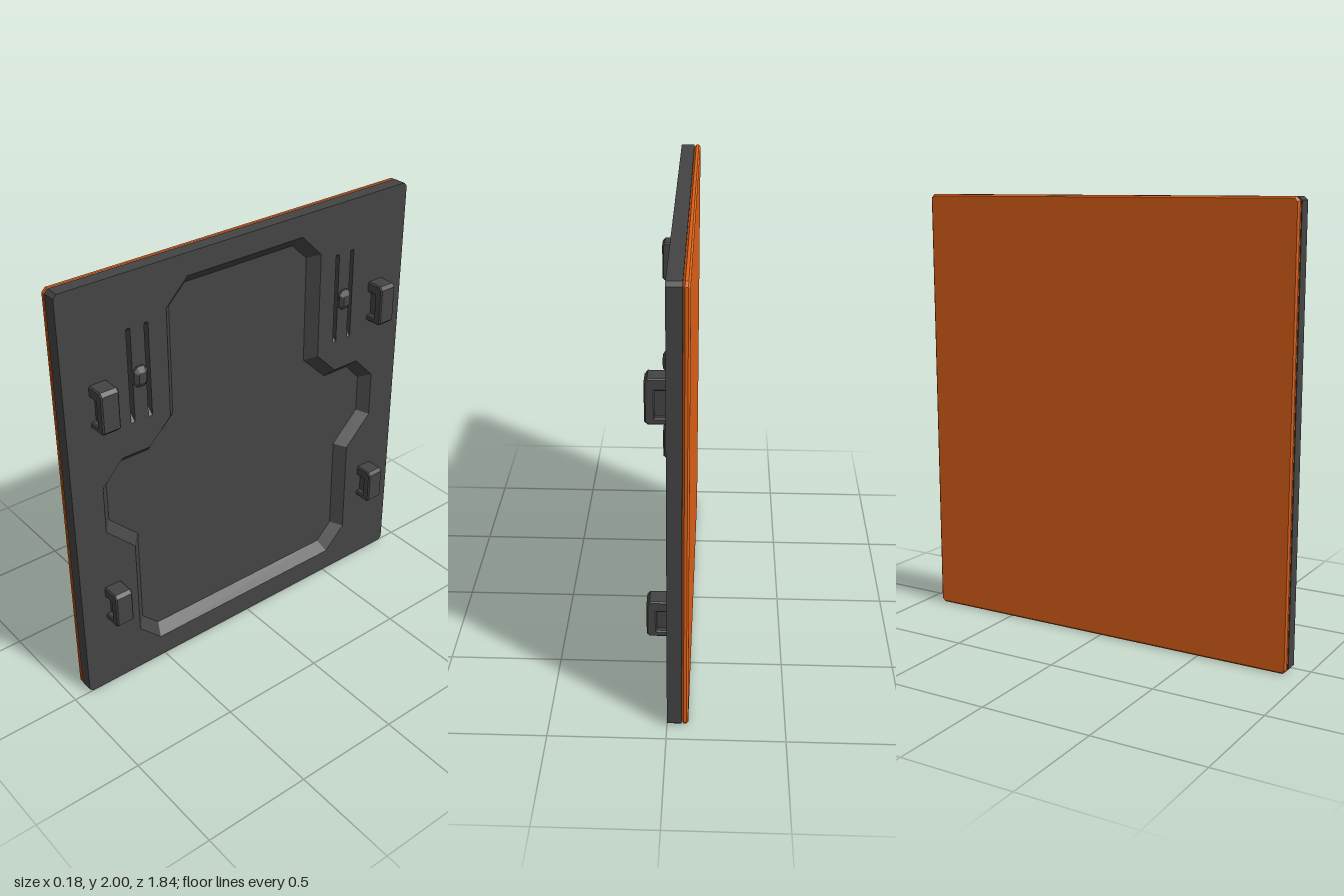
import * as THREE from 'three';

const dark = new THREE.MeshStandardMaterial({ color: 0x444444, flatShading: true });
const orange = new THREE.MeshStandardMaterial({ color: 0xe06218, flatShading: true });
const W = 0.92, H = 2, BACK = -0.062;

const toShape = (pts) => new THREE.Shape(pts.map(([x, y]) => new THREE.Vector2(x, y)));

// rectangle with cut corners, counter-clockwise
function cutRect(x0, y0, x1, y1, c) {
  return [[x0 + c, y0], [x1 - c, y0], [x1, y0 + c], [x1, y1 - c],
    [x1 - c, y1], [x0 + c, y1], [x0, y1 - c], [x0, y0 + c]];
}

// faces between two matching 3D outlines
function strip(a, b, closed) {
  const pos = [], n = a.length;
  for (let i = 0; i < (closed ? n : n - 1); i++) {
    const j = (i + 1) % n;
    pos.push(...a[i], ...a[j], ...b[j], ...a[i], ...b[j], ...b[i]);
  }
  const g = new THREE.BufferGeometry();
  g.setAttribute('position', new THREE.Float32BufferAttribute(pos, 3));
  g.computeVertexNormals();
  return g;
}

// mirrors a right-hand half outline (listed top to bottom) into a closed loop
const mirrorLoop = (half) => [...half].reverse().concat(half.map(([x, y]) => [-x, y]));
const atDepth = (pts, z) => pts.map(([x, y]) => [x, y, z]);

export function createModel() {
  const model = new THREE.Group();
  model.name = 'wallPanel';
  // the panel is drawn flat in XY, then turned so that its face looks along +x
  const panel = new THREE.Group();
  panel.name = 'panel';
  panel.rotation.y = Math.PI / 2;
  model.add(panel);
  const add = (name, geo, mat = dark, parent = panel) => {
    const m = new THREE.Mesh(geo, mat);
    m.name = name;
    parent.add(m);
    return m;
  };

  // recess rim and floor outlines
  const rim = mirrorLoop([[0.305, 1.9], [0.415, 1.79], [0.415, 1.285], [0.525, 1.175], [0.665, 1.175],
    [0.77, 1.065], [0.77, 0.84], [0.63, 0.7], [0.63, 0.22], [0.52, 0.11]]);
  const floor = mirrorLoop([[0.287, 1.85], [0.37, 1.77], [0.37, 1.26], [0.503, 1.13], [0.645, 1.13],
    [0.725, 1.045], [0.725, 0.86], [0.583, 0.718], [0.583, 0.24], [0.5, 0.158]]);

  // dark front plate with openings for the recess and the slots
  const slots = [-0.602, -0.515, 0.515, 0.602];
  const sw = 0.01;
  const plate = toShape(cutRect(-W, 0, W, H, 0.016));
  plate.holes.push(toShape(rim));
  for (const u of slots) plate.holes.push(toShape(cutRect(u - sw, 1.325, u + sw, 1.76, 0.004)));
  add('frontPlate', new THREE.ExtrudeGeometry(plate, { depth: -BACK, bevelEnabled: false }).translate(0, 0, BACK));

  // sloped recess wall and its floor
  add('recessWall', strip(atDepth(rim, 0), atDepth(floor, -0.047), true));
  add('recessFloor', new THREE.ShapeGeometry(toShape(floor)).translate(0, 0, -0.047));

  // ramps at both ends of every slot
  for (const u of slots) {
    const l = u - sw, r = u + sw;
    add('slotTopRamp', strip([[r, 1.76, 0], [l, 1.76, 0]], [[r, 1.71, BACK], [l, 1.71, BACK]]));
    add('slotBottomRamp', strip([[l, 1.325, 0], [r, 1.325, 0]], [[l, 1.38, BACK], [r, 1.38, BACK]]));
  }

  // orange back panel with chamfered edges
  const c = 0.008;
  add('backPanel', new THREE.ExtrudeGeometry(toShape(cutRect(-W + c, c, W - c, H - c, 0.012)),
    { depth: 0.012, bevelThickness: c, bevelSize: c, bevelSegments: 1 }).translate(0, 0, -0.082), orange);

  // faceted nub between each pair of slots
  const ring = (w, h, k, z) => atDepth(cutRect(-w, -h, w, h, k), z);
  for (const s of [-1, 1]) {
    const nub = new THREE.Group();
    nub.name = 'nub';
    nub.position.set(s * 0.559, 1.533, 0);
    panel.add(nub);
    add('nubBase', strip(ring(0.033, 0.047, 0.018, 0), ring(0.033, 0.047, 0.018, 0.01), true), dark, nub);
    add('nubTaper', strip(ring(0.033, 0.047, 0.018, 0.01), ring(0.018, 0.024, 0.006, 0.026), true), dark, nub);
    add('nubTip', new THREE.ShapeGeometry(toShape(cutRect(-0.018, -0.024, 0.018, 0.024, 0.006)))
      .translate(0, 0, 0.026), dark, nub);
  }

  // hooks: a bevelled C frame around a thinner web
  const b = 0.006, hw = 0.043;
  const hookGeo = (h) => new THREE.ExtrudeGeometry(toShape([[0, b], [0.072, b], [0.082, b + 0.01],
    [0.082, h - b - 0.012], [0.072, h - b], [0, h - b], [0, h - 0.046], [0.052, h - 0.046],
    [0.052, 0.023], [0, 0.023]]),
  { depth: 2 * (hw - b), bevelThickness: b, bevelSize: b, bevelSegments: 1 })
    .translate(0, 0, b - hw).rotateY(-Math.PI / 2);
  for (const [y, h] of [[1.375, 0.195], [0.375, 0.175]]) {
    for (const s of [-1, 1]) {
      const hook = new THREE.Group();
      hook.name = 'hook';
      hook.position.set(s * 0.757, y, 0);
      panel.add(hook);
      add('hookFrame', hookGeo(h), dark, hook);
      add('hookWeb', new THREE.BoxGeometry(0.04, h - 0.03, 0.06).translate(0, h / 2, 0.03), dark, hook);
    }
  }
  return model;
}
